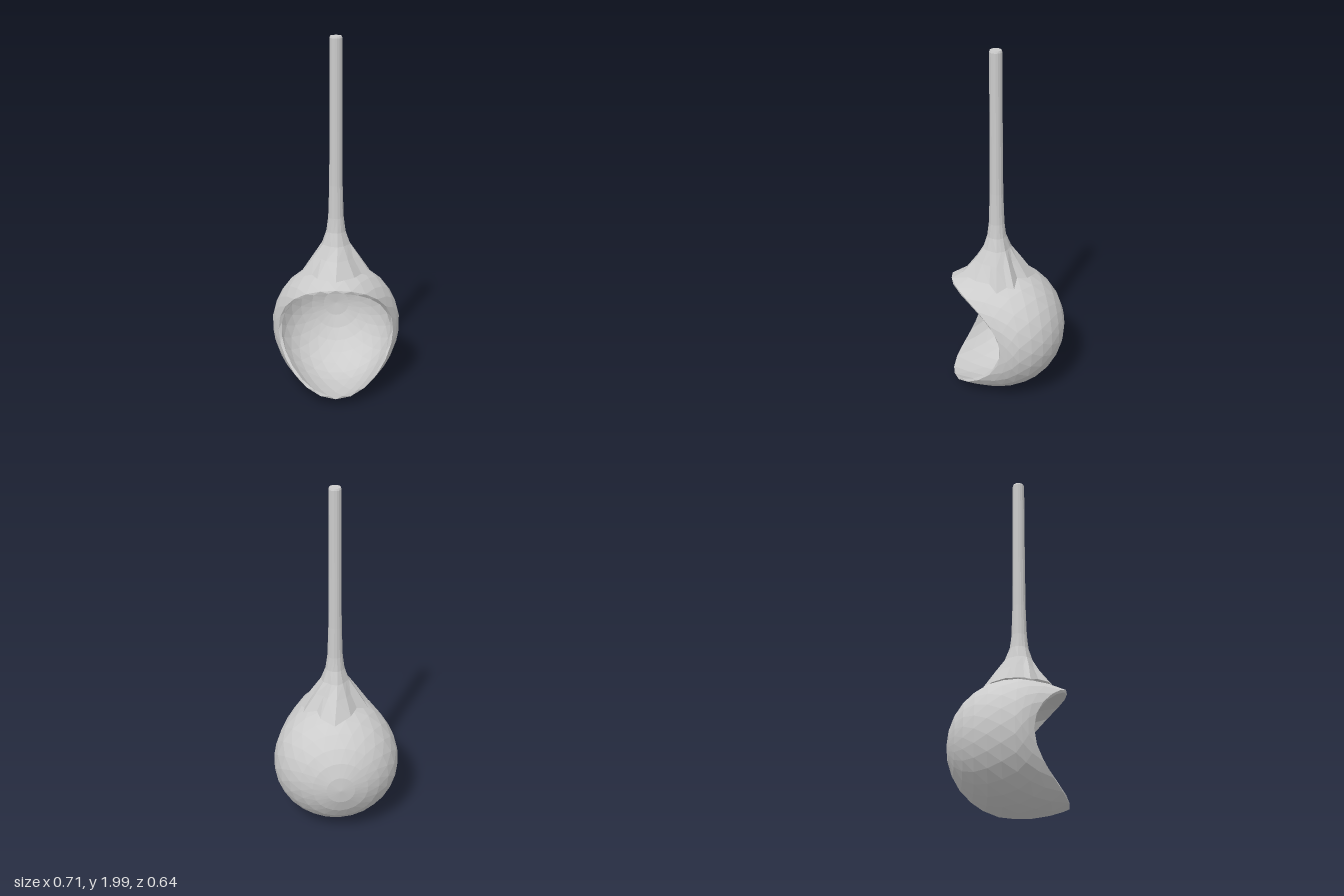
import * as THREE from 'three';

const material = new THREE.MeshStandardMaterial({ color: 0xcccccc, flatShading: true, side: THREE.DoubleSide });
const bowlY = 0.37;

// Skin a grid of rings: point(i, j) gives [x, y, z] for ring i, column j (columns wrap round)
function loft(name, rings, cols, point) {
  const pos = [], index = [];
  for (let i = 0; i < rings; i++)
    for (let j = 0; j < cols; j++) pos.push(...point(i, j));
  for (let i = 0; i < rings - 1; i++)
    for (let j = 0; j < cols; j++) {
      const a = i * cols + j, b = i * cols + (j + 1) % cols;
      const c = a + cols, d = b + cols;
      if (i % 2) index.push(a, b, d, a, d, c);
      else index.push(a, b, c, b, d, c);
    }
  const geometry = new THREE.BufferGeometry();
  geometry.setAttribute('position', new THREE.Float32BufferAttribute(pos, 3));
  geometry.setIndex(index);
  geometry.computeVertexNormals();
  const mesh = new THREE.Mesh(geometry, material);
  mesh.name = name;
  return mesh;
}

// Hollow bowl: outer skin from the back pole to the saddle-shaped rim, then the inner skin back again
function makeBowl() {
  const back = 7, front = 3, half = back + front + 1, cols = 24;
  return loft('bowl', half * 2, cols, (i, j) => {
    const inner = i >= half;
    const k = inner ? half * 2 - 1 - i : i;
    // every other ring is turned half a step for a triangular facet pattern
    const phi = ((j + (i % 2) / 2) / cols) * Math.PI * 2;
    const s2 = Math.sin(phi) ** 2;
    const pole = inner ? -0.285 : -0.32;
    const wide = (inner ? 0.33 : 0.358) + 0.01 * s2;
    const lip = inner ? 0.304 : 0.32;
    const zMid = 0.05 * s2, zRim = 0.1 + 0.22 * s2;
    let r, z;
    if (k <= back) {
      const t = (k / back) * Math.PI / 2;
      r = wide * Math.sin(t);
      z = zMid - (zMid - pole) * Math.cos(t);
    } else {
      const u = (k - back) / front;
      r = wide - (wide - lip) * u ** 2;
      z = zMid + (zRim - zMid) * u;
    }
    return [r * Math.cos(phi), bowlY + r * Math.sin(phi), z];
  });
}

// Height of the bowl's upper surface, on which the cap rests
function bowlTop(x, z) {
  const u = z - 0.05;
  const r = u < 0 ? 0.368 * Math.sqrt(1 - (u / 0.37) ** 2) : 0.368 - 0.048 * (u / 0.27) ** 2;
  return bowlY + Math.sqrt(r * r - x * x);
}

// Leafy cap with a ragged hem that sweeps up into the long stalk
function makeStalk() {
  const cz = 0.065;
  const hem = [[0.2, 0.1], [0.175, 0.04], [0.185, 0], [0.11, -0.03], [0.095, -0.09], [0.02, -0.15],
    [-0.075, -0.09], [-0.115, -0.02], [-0.185, 0.015], [-0.17, 0.07], [-0.2, 0.1], [-0.13, 0.15],
    [-0.1, 0.21], [0, 0.265], [0.1, 0.2], [0.14, 0.13]];
  // height, radius, share of the hem outline (the first ring rests on the bowl)
  const rows = [[0, 0.2, 1], [0.8, 0.118, 0.7], [0.87, 0.076, 0.4], [0.94, 0.053, 0.15], [1.02, 0.043, 0],
    [1.2, 0.037, 0], [1.5, 0.035, 0], [1.99, 0.034, 0], [2, 0.03, 0], [2, 0, 0]];
  return loft('stalkAndCap', rows.length, hem.length, (i, j) => {
    const [y, r, share] = rows[i];
    const [x, z] = hem[j];
    if (i === 0) return [x, bowlTop(x, z) + 0.008, z];
    // ring blends from the hem outline to an even circle
    const a = (j / hem.length) * Math.PI * 2 - 0.2;
    const k = share * r / 0.18, round = r * (1 - share);
    return [x * k + Math.cos(a) * round, y, cz + (z - cz) * k - Math.sin(a) * round];
  });
}

export function createModel() {
  const model = new THREE.Group();
  model.name = 'gourdLadle';
  model.add(makeBowl(), makeStalk());
  return model;
}
